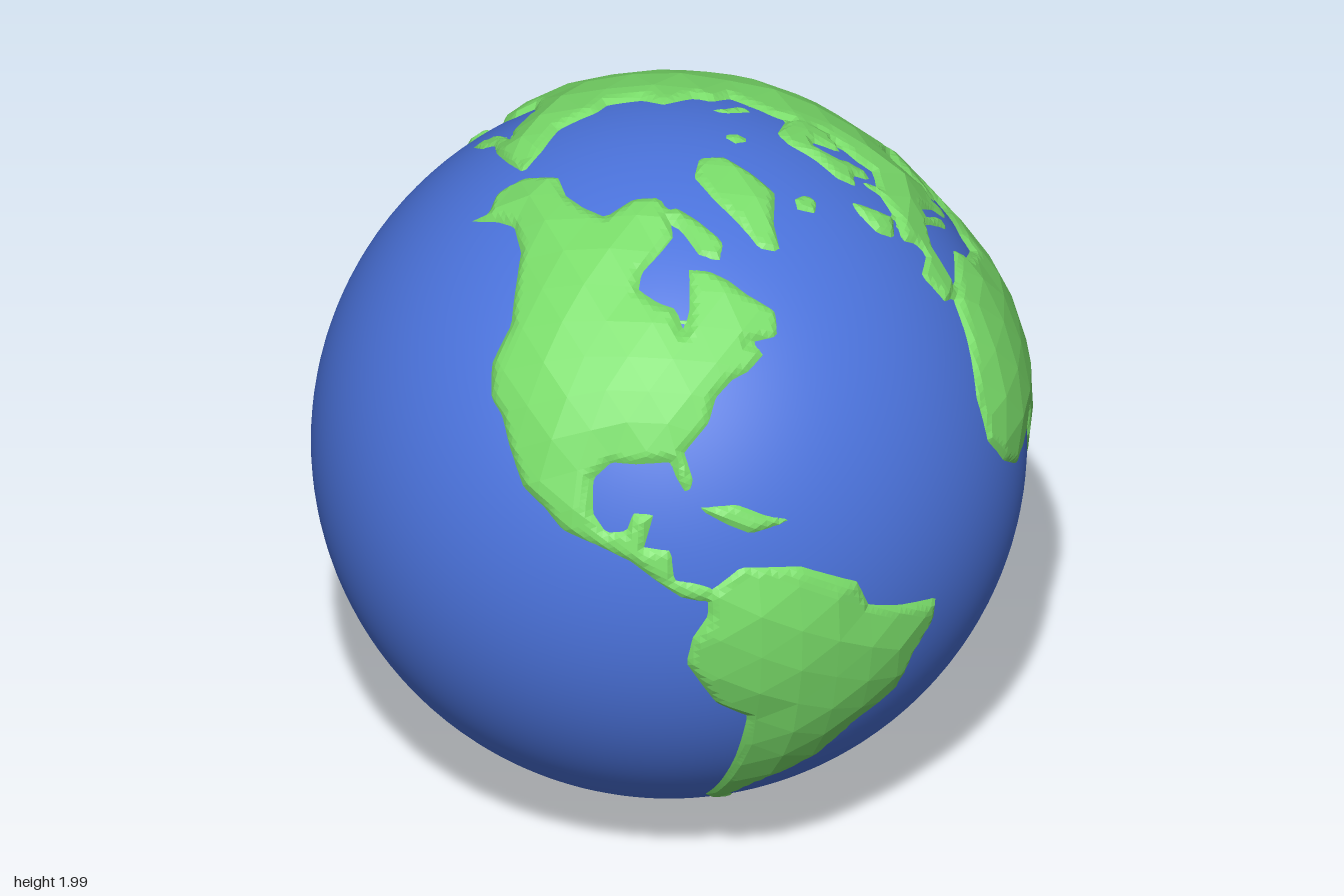
import * as THREE from 'three';

const R = 0.98, CENTRE_Y = 1.012, FRONT_LON = -88;
const MARGIN = 0.15; // how far offshore a coast distance is measured

// Coastlines as longitude, latitude pairs
const LANDS = {
  northAmerica: [-165, 61, -166, 66, -156, 71, -141, 70, -128, 70, -115, 70, -106, 75, -90, 76, -84, 73, -82, 68, -87, 65,
    -93, 61, -93, 58, -87, 56, -82, 55, -80, 51, -78, 55, -77, 62, -70, 61, -65, 59, -61, 56, -55, 52, -57, 48, -65, 48,
    -61, 46, -66, 43.5, -70, 42.5, -74, 40, -76, 36, -81, 31.5, -79.5, 27, -80.5, 24.5, -82.5, 27.5, -83.5, 30, -90, 29.5,
    -94.5, 29.5, -97.5, 26.5, -97, 21, -94.5, 18, -91, 18.5, -90, 21.5, -86.5, 21.5, -88, 16, -83.5, 15.5, -83, 10.5,
    -79.5, 9.8, -76, 8.5, -78, 6.5, -82, 7.5, -86, 10.5, -90, 13.5, -95, 15.5, -102, 17.5, -105.5, 20.5, -110, 23,
    -114.5, 29, -117.5, 33, -121, 35, -124, 40, -124, 47, -130, 54, -135, 58, -145, 60.5, -152, 59, -160, 55, -158, 58.5],
  baffinIsland: [-62, 66, -66, 62.5, -73, 64.5, -78, 69, -87, 73, -80, 74, -70, 71],
  greenland: [-60, 80, -35, 83.5, -15, 80.5, -20, 75, -24, 70, -38, 66, -44, 61, -50, 63, -52, 69, -56, 74],
  iceland: [-24, 65.5, -20, 63, -14, 64, -13.5, 66, -20, 67],
  caribbeanIsland: [-79, 22.5, -72, 22.5, -67, 20, -62.5, 18.5, -70, 17.5, -74, 19.5],
  southAmerica: [-77.5, 8, -72, 12, -62, 10.5, -52, 5, -50, 0, -44, -2.5, -35.5, -5, -35.5, -9, -39, -14, -41, -22, -48, -26,
    -53, -33, -58, -37, -62, -39, -65, -43, -67.5, -47, -69, -52, -65, -55, -71, -54, -75, -49, -73, -40, -71.5, -30,
    -70.5, -18, -76, -14, -81, -5, -80, 0, -77.5, 4],
  africa: [-6, 35.7, 3, 37, 10, 37.3, 11, 34, 19, 30.5, 21, 32.8, 32, 31.2, 35, 30, 40, 22, 41, 15, 43.5, 11, 51.5, 12,
    48, 4.5, 40, -3, 40.5, -15, 35, -20, 35.5, -24, 32, -29, 26, -34, 18.5, -34.5, 15, -27, 12, -17, 13.5, -9, 9, -1,
    9.5, 4, 4, 6.3, -7.5, 4.5, -13, 8.5, -17, 14.5, -16, 22, -10, 30],
  madagascar: [43.5, -20, 45, -25, 47.5, -25, 50.5, -15.5, 49, -12, 44.5, -16.5],
  europe: [-9, 37, -9.5, 43, -2, 43.5, -1.5, 46, -4.5, 48.5, 2, 51, 8, 54, 8.5, 57, 10.5, 57, 11, 54.3, 19, 54.5, 21, 57,
    28, 59.8, 34, 64, 40, 66, 45, 68, 65, 69, 65, 45, 45, 40, 28, 41, 24, 40.5, 23.5, 37, 21.5, 37, 19.5, 41, 14, 45.3,
    12.5, 44, 18, 40, 16, 38, 12, 42, 9, 44.3, 3, 43, -0.5, 39, -2, 36.7, -5.5, 36],
  scandinavia: [5.5, 58.5, 5, 62, 12, 66, 19, 70, 28, 71, 40, 67, 42, 64, 34, 61, 28, 60, 23, 60, 25, 65, 22, 65.5, 17, 61.5,
    18.5, 60, 16, 56.5, 13, 55.5, 11, 59],
  britishIsles: [-6, 50, 1.5, 51.2, 0, 53.5, -2, 57, -4, 59, -7, 57, -9, 53],
  asia: [42, 55, 42, 65, 55, 69, 68, 69, 72, 73, 82, 73, 100, 77, 112, 74, 130, 72, 140, 73, 160, 70, 178, 69, 190, 66,
    179, 63, 170, 60, 163, 58, 162, 55, 157, 51, 156, 57, 163, 61.5, 155, 59.5, 143, 59, 136, 54.5, 141, 52, 140, 48,
    135, 43, 129, 41, 129.5, 36, 126.5, 34.5, 126, 38, 121.5, 39.5, 118, 39, 122, 37, 119.5, 34.5, 122, 30.5, 119.5, 25.5,
    115, 22.5, 109, 21, 106.5, 19, 109, 14.5, 109, 11.5, 105, 9, 102.5, 12.5, 100, 13, 100.5, 8, 103.5, 4, 103.5, 1.5,
    101, 3, 98, 8, 97.5, 16.5, 94.5, 16, 91.5, 22.5, 87, 21, 80.5, 15.5, 80, 11, 77.5, 8, 74.5, 14, 72.5, 20.5, 67, 25,
    57.5, 25.8, 52, 28, 47, 31, 42, 40],
  arabia: [36, 36.5, 28, 37, 27, 40, 30, 41.5, 45, 44, 56, 40, 55, 31, 49, 30.5, 48, 29, 51, 25.3, 54, 24, 56.5, 25,
    59.5, 22.5, 55, 17.5, 45, 13, 40, 14, 35, 21, 32, 29, 34.3, 32],
  arcticIsland: [51, 71, 56, 75.5, 68, 77.5, 60, 74, 57, 70.5],
  polarIsland: [11, 79.5, 25, 81, 26, 78.5, 17, 76.5],
  japan: [130, 32, 136, 33.5, 141, 35, 142.5, 40, 146, 43.5, 141.5, 45.5, 139.5, 41, 137, 37.5, 131, 35],
  philippines: [120, 18.5, 122.5, 18.5, 124, 13, 127, 7, 123, 6.5, 121, 12],
  borneo: [109, 1.5, 117, 7.3, 119, 4.5, 116, -4, 110.5, -3],
  sumatra: [95, 5.5, 98, 5.5, 104, 0, 106, -6, 101, -4],
  java: [105, -6, 114, -6.5, 115, -9, 106, -8.5],
  sulawesi: [119, 0.5, 124.5, 2, 122, -1.5, 123, -5, 120, -6],
  newGuinea: [131, -0.5, 138, -1.5, 145, -4.5, 151, -10.5, 143, -9, 138, -8.5, 134, -4],
  australia: [114, -22, 122, -18, 129, -14.5, 132, -11.5, 136.5, -12, 136, -15, 140, -17.5, 142.5, -10.5, 146, -19,
    153, -25.5, 152.5, -32, 150, -37.5, 144, -38.5, 138, -34.5, 131, -31.5, 124, -33.5, 115.5, -34.5],
  newZealand: [173, -35, 178.5, -38, 174, -42, 168, -47, 166.5, -45, 172, -40.5],
  antarctica: [-58, -63, -61, -68, -60, -75, -35, -78, -20, -73, 0, -70, 30, -69, 50, -66.5, 70, -69, 90, -66.5, 115, -66.5,
    140, -66.5, 160, -70, 168, -77, -160, -78, -145, -75, -120, -74, -100, -73, -78, -73, -67, -68],
};
// Inland waters cut out of the land
const SEAS = {
  blackSea: [28.5, 43, 31, 46, 37, 46.5, 41, 42, 35, 41.7, 30, 41.5],
  caspianSea: [47, 45, 52, 46.5, 53, 41, 53.5, 37.5, 50, 37.5, 49.5, 41],
};

function direction(lon, lat) {
  const a = THREE.MathUtils.degToRad(lon - FRONT_LON), b = THREE.MathUtils.degToRad(lat);
  return new THREE.Vector3(Math.cos(b) * Math.sin(a), Math.sin(b), Math.cos(b) * Math.cos(a));
}

function makeRegion([name, coords]) {
  const pts = [];
  for (let i = 0; i < coords.length; i += 2) pts.push(direction(coords[i], coords[i + 1]));
  const centre = pts.reduce((s, p) => s.add(p), new THREE.Vector3()).normalize();
  const reach = Math.max(...pts.map((p) => p.angleTo(centre))) + MARGIN;
  return { name, pts, centre, minDot: Math.cos(reach) };
}

// Signed distance to a region's coast, positive inland
const ab = new THREE.Vector3(), near = new THREE.Vector3(), cross = new THREE.Vector3();
function coastDistance(p, { pts, centre, minDot }) {
  if (p.dot(centre) < minDot) return -MARGIN;
  let best = 4, turn = 0;
  pts.forEach((a, i) => {
    const b = pts[(i + 1) % pts.length];
    ab.subVectors(b, a);
    const t = THREE.MathUtils.clamp(near.subVectors(p, a).dot(ab) / ab.lengthSq(), 0, 1);
    near.copy(a).addScaledVector(ab, t).normalize();
    best = Math.min(best, near.distanceToSquared(p));
    turn += Math.atan2(p.dot(cross.crossVectors(a, b)), a.dot(b) - p.dot(a) * p.dot(b));
  });
  const d = Math.sqrt(best);
  return Math.abs(turn) > Math.PI ? d : -Math.min(d, MARGIN);
}

const lands = Object.entries(LANDS).map(makeRegion);
const seas = Object.entries(SEAS).map(makeRegion);

function survey(p) {
  let d = -MARGIN, name = null;
  for (const land of lands) {
    const e = coastDistance(p, land);
    if (e > d) { d = e; name = land.name; }
  }
  for (const sea of seas) d = Math.min(d, -coastDistance(p, sea));
  return { d, name };
}

// Broad facet corners: land domes up away from its coast, slightly uneven
function raise(dir) {
  const d = Math.max(survey(dir).d, 0);
  const bump = 0.004 * Math.sin(37 * dir.x + 11 * dir.y) * Math.sin(41 * dir.z - 23 * dir.y);
  return dir.clone().multiplyScalar(R + 0.009 + 0.034 * (1 - Math.exp(-d / 0.1)) + bump * Math.min(1, d * 12));
}

function buildLand() {
  const STEPS = 6, parts = {};
  const pos = new THREE.IcosahedronGeometry(1, 9).getAttribute('position');
  for (let f = 0; f < pos.count; f += 3) {
    const dirs = [0, 1, 2].map((k) => new THREE.Vector3().fromBufferAttribute(pos, f + k).normalize());
    const mid = dirs[0].clone().add(dirs[1]).add(dirs[2]).normalize();
    if (survey(mid).d < -0.1) continue;
    const [A, B, C] = dirs.map(raise);

    // Each broad facet is split finely, and its shore is pulled below the water
    const rows = [];
    for (let i = 0; i <= STEPS; i++) {
      rows.push([]);
      for (let j = 0; j <= STEPS - i; j++) {
        const p = A.clone().multiplyScalar(STEPS - i - j).addScaledVector(B, i).addScaledVector(C, j).divideScalar(STEPS);
        const { d, name } = survey(p.clone().normalize());
        p.setLength(Math.min(p.length(), R + 0.8 * d));
        p.y = Math.max(p.y, -CENTRE_Y);
        rows[i].push({ p, d, name });
      }
    }
    const addFace = (...v) => {
      const top = v.reduce((m, q) => (q.d > m.d ? q : m));
      if (top.d <= 0) return;
      const list = (parts[top.name] ??= []);
      v.forEach(({ p }) => list.push(p.x, p.y, p.z));
    };
    for (let i = 0; i < STEPS; i++) {
      for (let j = 0; j < STEPS - i; j++) {
        addFace(rows[i][j], rows[i + 1][j], rows[i][j + 1]);
        if (j < STEPS - i - 1) addFace(rows[i + 1][j], rows[i + 1][j + 1], rows[i][j + 1]);
      }
    }
  }
  return parts;
}

export function createModel() {
  const globe = new THREE.Group();
  globe.name = 'globe';

  // Smooth water ball
  const ocean = new THREE.Mesh(new THREE.SphereGeometry(R, 128, 80), new THREE.MeshStandardMaterial({ color: 0x4b73dc }));
  ocean.name = 'ocean';
  globe.add(ocean);

  // Faceted continents and islands
  const green = new THREE.MeshStandardMaterial({ color: 0x79dc69, flatShading: true });
  for (const [name, list] of Object.entries(buildLand())) {
    const geometry = new THREE.BufferGeometry();
    geometry.setAttribute('position', new THREE.Float32BufferAttribute(list, 3));
    geometry.computeVertexNormals();
    const land = new THREE.Mesh(geometry, green);
    land.name = name;
    globe.add(land);
  }
  globe.children.forEach((part) => { part.position.y = CENTRE_Y; });
  return globe;
}
